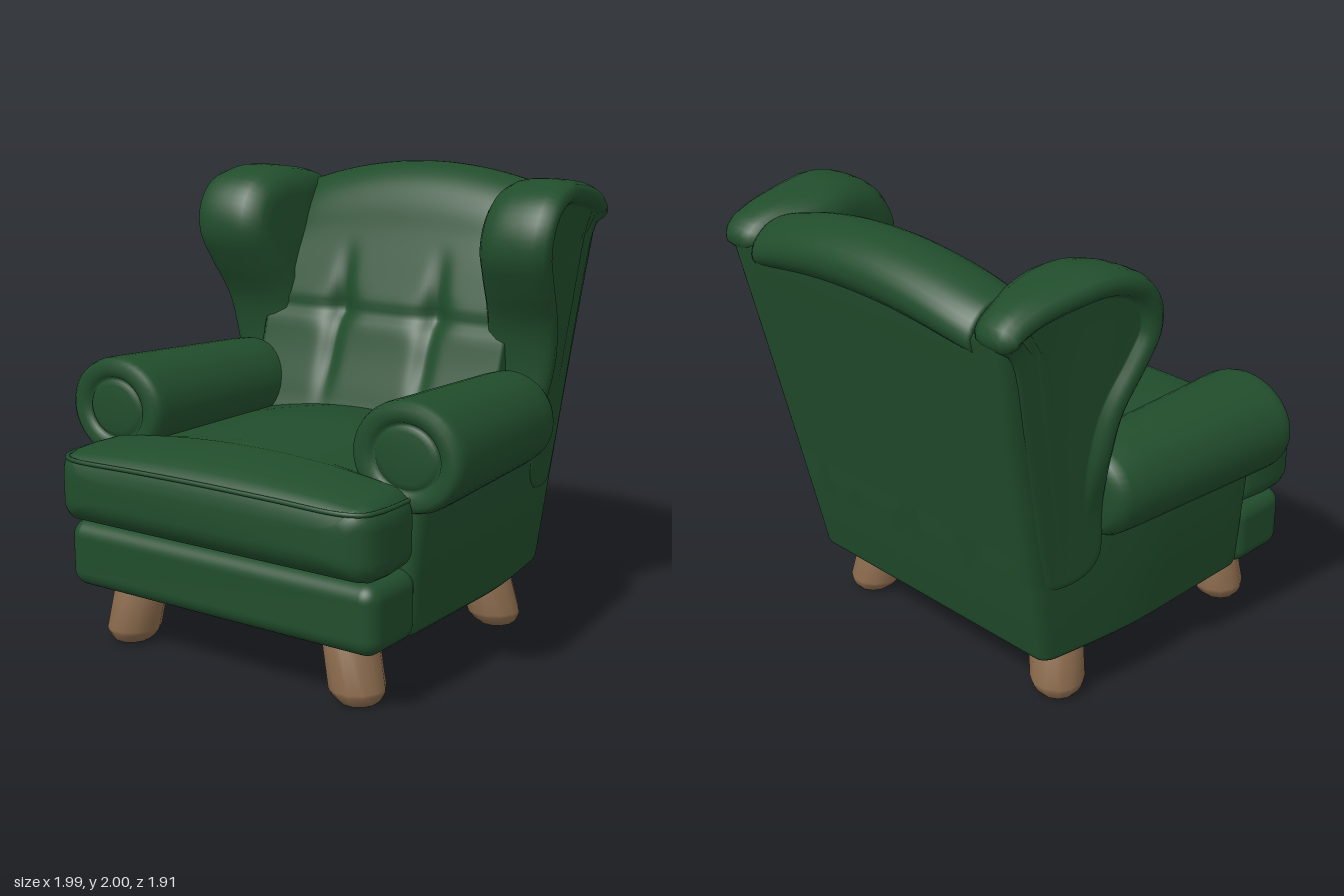
import * as THREE from 'three';
import { RoundedBoxGeometry } from 'three/addons/geometries/RoundedBoxGeometry.js';

const V = (x, y, z) => new THREE.Vector3(x, y, z);
const { smoothstep, lerp } = THREE.MathUtils;

// Closed solid through rings of equal point count, capped at both ends, always facing outward
function loft(rings) {
  const n = rings[0].length, pos = [], idx = [];
  rings.forEach(r => r.forEach(p => pos.push(p.x, p.y, p.z)));
  for (let i = 0; i < rings.length - 1; i++) {
    for (let j = 0; j < n; j++) {
      const a = i * n + j, b = i * n + (j + 1) % n;
      idx.push(a, b, a + n, b, b + n, a + n);
    }
  }
  [0, rings.length - 1].forEach((k, end) => {
    const c = rings[k].reduce((s, p) => s.add(p), V(0, 0, 0)).divideScalar(n);
    const ci = pos.length / 3;
    pos.push(c.x, c.y, c.z);
    for (let j = 0; j < n; j++) {
      const a = k * n + j, b = k * n + (j + 1) % n;
      if (end) idx.push(a, b, ci); else idx.push(b, a, ci);
    }
  });
  const at = i => V(pos[3 * i], pos[3 * i + 1], pos[3 * i + 2]);
  let volume = 0;
  for (let i = 0; i < idx.length; i += 3) volume += at(idx[i]).dot(at(idx[i + 1]).cross(at(idx[i + 2])));
  if (volume < 0) idx.reverse();
  const g = new THREE.BufferGeometry();
  g.setAttribute('position', new THREE.Float32BufferAttribute(pos, 3));
  g.setIndex(idx);
  g.computeVertexNormals();
  return g;
}

// Rounded rectangle as [u, v] pairs, with extra points along the straight sides
function roundRect(u0, u1, v0, v1, r, along = 12) {
  const corners = [[u1 - r, v1 - r], [u0 + r, v1 - r], [u0 + r, v0 + r], [u1 - r, v0 + r]];
  const out = [];
  corners.forEach(([cu, cv], k) => {
    for (let i = 0; i <= 6; i++) {
      const a = (k + i / 6) * Math.PI / 2;
      out.push([cu + r * Math.cos(a), cv + r * Math.sin(a)]);
    }
    const a = (k + 1) * Math.PI / 2, last = out[out.length - 1], next = corners[(k + 1) % 4];
    const to = [next[0] + r * Math.cos(a), next[1] + r * Math.sin(a)];
    for (let i = 1; i < along; i++) {
      out.push([lerp(last[0], to[0], i / along), lerp(last[1], to[1], i / along)]);
    }
  });
  return out;
}

const spline = (pts, n) =>
  new THREE.CatmullRomCurve3(pts.map(([z, y]) => V(0, y, z)), true, 'centripetal').getSpacedPoints(n).slice(0, n);
// Outer half width: flares upward, narrows toward the rear
const sideX = (y, z) => 0.8 + 0.08 * (y - 0.25) - 0.1 * smoothstep(-z, 0, 0.95);
const backZ = y => -0.62 - (y - 0.4) * 0.215;  // rear panel leans back
const bump = (d, w) => Math.exp(-(d / w) * (d / w));

// Upright block whose rings follow the flare, taper and lean
function uprightBlock(levels, front) {
  return loft(levels.map(([y, inset]) => roundRect(-1, 1, backZ(y) + inset, front(y) - inset, 0.06)
    .map(([u, z]) => V(u * (sideX(y, z) - 0.034 - inset), y, z))));
}

// Padded backrest with a rolled top, seams and pinched buttons
function backrest() {
  const profile = spline([[-0.18, 0.8], [-0.225, 0.95], [-0.30, 1.15], [-0.36, 1.34], [-0.43, 1.52], [-0.50, 1.7],
    [-0.545, 1.83], [-0.60, 1.92], [-0.68, 1.98], [-0.77, 2.0], [-0.88, 1.975], [-0.95, 1.91], [-0.955, 1.84],
    [-0.91, 1.78], [-0.78, 1.7], [-0.5, 0.8]], 110);
  const rings = [];
  for (let i = 0; i <= 80; i++) {
    const x = -0.64 + 1.28 * i / 80, q = (x / 0.62) ** 2;
    rings.push(profile.map(p => {
      const top = smoothstep(p.y, 1.5, 1.95);
      const frontFace = p.z > -0.56 && p.y < 1.85 && p.y > 0.82 ? 1 : 0;
      const span = smoothstep(p.y, 0.85, 1.15) * (1 - smoothstep(p.y, 1.4, 1.68));
      let dent = 0.018 * bump(p.y - 1.33, 0.03);
      for (const bx of [-0.25, 0.25]) {
        dent += 0.028 * span * bump(x - bx, 0.045) + 0.035 * bump(Math.hypot(x - bx, p.y - 1.34), 0.08);
      }
      const z = p.z - dent * frontFace + 0.02 * q * top;
      return V(x, p.y - 0.1 * q * top, lerp(z, -0.75, 0.1 * q ** 4 * top));
    }));
  }
  return loft(rings);
}

// Wing: side outline swept across its thickness with a rolled rim
function wing(s) {
  const line = spline([[-0.34, 0.7], [-0.35, 1.0], [-0.345, 1.2], [-0.31, 1.36], [-0.22, 1.52], [-0.155, 1.66],
    [-0.165, 1.79], [-0.25, 1.91], [-0.42, 1.97], [-0.6, 1.96], [-0.8, 1.92], [-0.91, 1.86], [-0.93, 1.79],
    [-0.86, 1.72], [-0.785, 1.4], [-0.65, 0.75], [-0.6, 0.62], [-0.42, 0.62]], 96);
  const section = [[-0.03, 0.115], [-0.028, 0.105], [-0.005, 0.095], [0.012, 0.075], [0.014, 0.045], [-0.005, 0.02],
    [-0.05, 0.004], [-0.12, 0], [-0.2, 0.003], [-0.26, 0.015], [-0.305, 0.04], [-0.33, 0.08], [-0.335, 0.13]];
  const rings = section.map(([dx, inset]) => line.map((p, i) => {
    const t = line[(i + 1) % 96].clone().sub(line[(i + 95) % 96]).normalize();
    const y = p.y + t.z * inset, z = p.z - t.y * inset;
    // The rim fades out low down and along the rear edge; the padding thins toward the rear
    const rear = p.y < 1.75 ? smoothstep(backZ(p.y) + 0.2 - p.z, 0, 0.1) : 0;
    const rim = smoothstep(p.y, 0.9, 1.25) * (1 - rear);
    const d = dx > -0.03 ? -0.03 + (dx + 0.03) * rim : dx * (1 - 0.4 * smoothstep(-z, 0.5, 0.95));
    return V(s * (sideX(y, z) + Math.min(d, 0.014)), y, z);
  }));
  // Flat outer panel that follows the body's taper
  const panel = [0.75, 0.5, 0.25].map(k => rings[0].map(p => {
    const y = lerp(1.45, p.y, k), z = lerp(-0.54, p.z, k);
    return V(s * (sideX(y, z) - 0.03), y, z);
  })).reverse();
  return loft([...panel, ...rings]);
}

// Rolled arm ending in a scroll: [z, scale]
function arm(s) {
  const steps = [[-0.365, 0.55], [-0.36, 0.75], [-0.34, 0.9], [-0.3, 0.98], [-0.2, 1], [0, 1], [0.2, 1], [0.4, 1],
    [0.54, 1], [0.575, 0.99], [0.6, 0.95], [0.615, 0.87], [0.612, 0.72], [0.602, 0.62], [0.588, 0.59],
    [0.598, 0.55], [0.605, 0.45], [0.607, 0.2]];
  return loft(steps.map(([z, k]) => {
    const t = (z + 0.36) / 0.97, cx = 0.69 + 0.055 * t, cy = 0.967 + 0.017 * t;
    return Array.from({ length: 40 }, (_, i) => {
      const a = i / 40 * Math.PI * 2;
      return V(s * (cx + (0.212 + 0.043 * t) * k * Math.cos(a)), cy + (0.204 + 0.021 * t) * k * Math.sin(a), z);
    });
  }));
}

// T-shaped domed seat cushion: [z, half width, bottom, top edge, dome, corner]
function cushion() {
  const steps = [[-0.35, 0.6, 0.56, 0.86, 0.07, 0.05], [0.1, 0.6, 0.56, 0.86, 0.075, 0.05],
    [0.57, 0.6, 0.56, 0.86, 0.075, 0.05], [0.59, 0.76, 0.56, 0.85, 0.075, 0.08], [0.62, 0.79, 0.55, 0.86, 0.07, 0.09],
    [0.74, 0.8, 0.545, 0.86, 0.06, 0.09], [0.84, 0.795, 0.55, 0.855, 0.045, 0.08], [0.89, 0.78, 0.565, 0.845, 0.035, 0.07],
    [0.925, 0.745, 0.595, 0.83, 0.025, 0.05], [0.945, 0.69, 0.63, 0.79, 0.01, 0.04], [0.951, 0.6, 0.66, 0.76, 0, 0.03]];
  return loft(steps.map(([z, w, y0, y1, dome, r]) => roundRect(-w, w, y0, y1, r, 16).map(([x, y]) => {
    const rise = Math.max(0, 1 - (x / w) ** 2);
    return V(x, y + (y > (y0 + y1) / 2 ? dome * rise : 0), z);
  })));
}

// Splayed leg with a chamfered foot
function leg(s, zTop, zFoot) {
  return loft([[0.34, 0.115], [0.06, 0.117], [0.045, 0.114], [0.018, 0.096], [0.002, 0.08], [0, 0.074]].map(([y, r]) =>
    Array.from({ length: 12 }, (_, i) => {
      const a = (i + 0.5) / 12 * Math.PI * 2, k = y / 0.3;
      return V(s * (0.598 - 0.062 * k + r * Math.cos(a)), y, zFoot + (zTop - zFoot) * k + r * Math.sin(a));
    })));
}

export function createModel() {
  const group = new THREE.Group();
  const green = new THREE.MeshStandardMaterial({ color: 0x214d2c });
  green.name = 'green upholstery';
  const wood = new THREE.MeshStandardMaterial({ color: 0x8a6a4c });
  wood.name = 'brown wood';
  const add = (name, geometry, material = green) => {
    const m = new THREE.Mesh(geometry, material);
    m.name = name;
    group.add(m);
    return m;
  };

  add('base', uprightBlock([[0.25, 0.06], [0.25, 0.035], [0.256, 0.018], [0.27, 0.005], [0.29, 0], [0.5, 0],
    [0.79, 0], [0.8, 0.02]], () => 0.6));
  add('backPanel', uprightBlock([[0.4, 0.005], [0.6, 0], [1.0, 0], [1.4, 0], [1.78, 0], [1.8, 0.02]],
    y => backZ(y) + 0.26));
  add('frontRail', new RoundedBoxGeometry(1.57, 0.29, 0.33, 6, 0.07)).position.set(0, 0.4, 0.715);
  add('seatCushion', cushion());
  add('backrest', backrest());

  // Piping along the cushion's front edge
  const halfPipe = [[0.785, 0.835, 0.64], [0.785, 0.835, 0.8], [0.755, 0.832, 0.89], [0.68, 0.832, 0.93],
    [0.35, 0.837, 0.936]];
  const pipe = new THREE.CatmullRomCurve3([...halfPipe.map(([x, y, z]) => V(-x, y, z)), V(0, 0.84, 0.937),
    ...halfPipe.map(([x, y, z]) => V(x, y, z)).reverse()]);
  add('cushionPiping', new THREE.TubeGeometry(pipe, 80, 0.01, 8));

  for (const [s, side] of [[1, 'left'], [-1, 'right']]) {
    add(side + 'Wing', wing(s));
    add(side + 'Arm', arm(s));
    add(side + 'FrontLeg', leg(s, 0.675, 0.692), wood);
    add(side + 'BackLeg', leg(s, -0.355, -0.4), wood);
  }
  return group;
}
